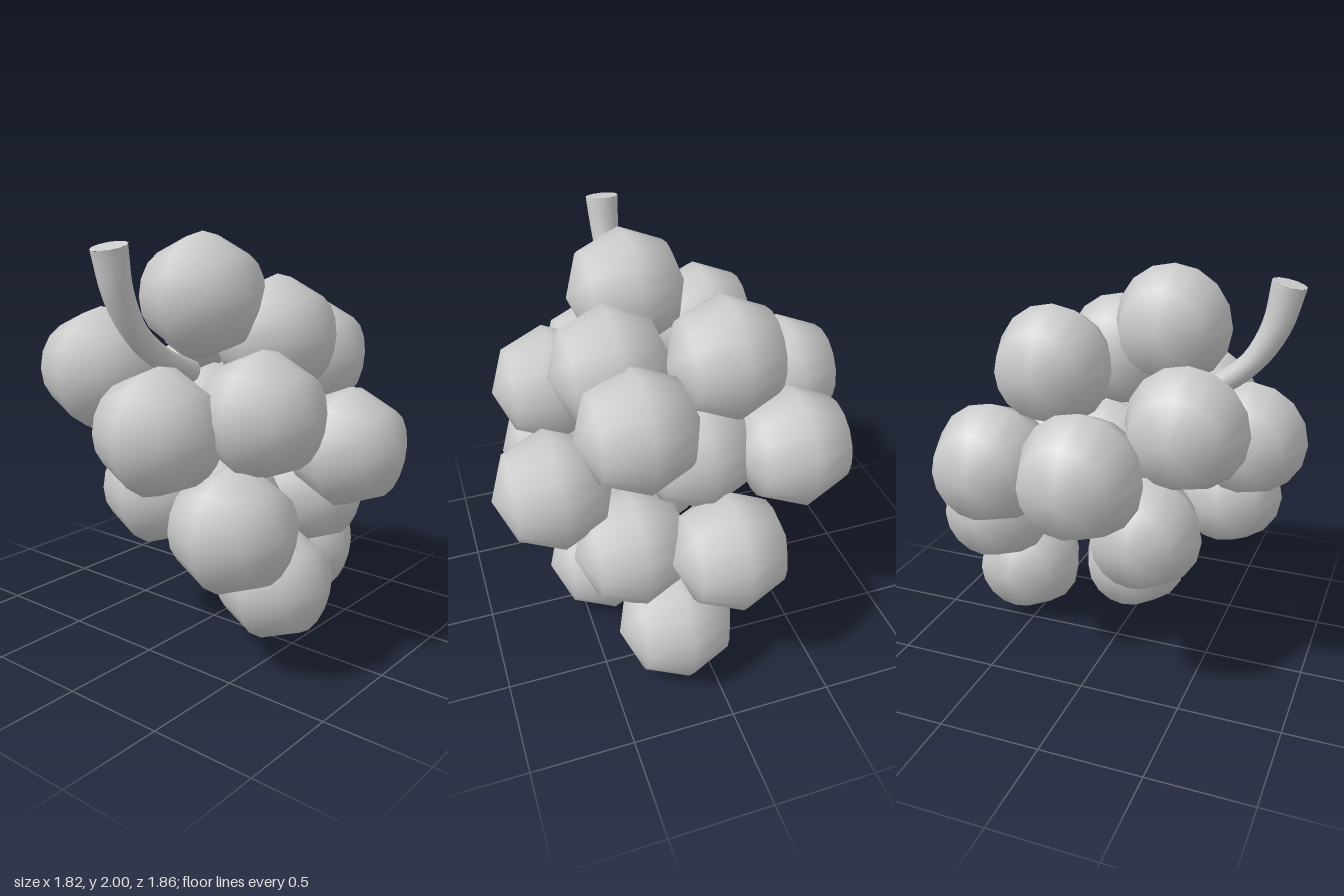
import * as THREE from 'three';

const material = new THREE.MeshStandardMaterial({ color: 0xcccccc });

// Centre of each berry, from the crown of the bunch to its tip
const berries = [
  [-0.24, 1.71, 0.13], [0.24, 1.55, -0.20], [0.09, 1.51, 0.31],
  [0.42, 1.38, 0.28], [-0.45, 1.36, -0.32], [-0.305, 1.22, 0.52],
  [-0.62, 1.155, 0.20], [-0.07, 1.20, -0.635], [0.44, 1.13, -0.47],
  [0.29, 1.10, -0.04], [0.03, 1.06, -0.03], [0.23, 0.99, 0.64],
  [0.62, 0.73, -0.10], [0.40, 0.68, 0.31], [-0.465, 0.73, 0.49],
  [-0.21, 0.74, -0.17], [-0.08, 0.67, 0.12],
  [0.025, 0.295, 0.37], [0.575, 0.295, 0.15],
];

// Curved stem, thickening towards its cut end
function createStem() {
  const stem = new THREE.Group();
  stem.name = 'stem';
  const curve = new THREE.CatmullRomCurve3([
    [-0.785, 1.95], [-0.74, 1.755], [-0.64, 1.58], [-0.49, 1.455], [-0.28, 1.36],
  ].map(([x, y]) => new THREE.Vector3(x, y, 0.09)));
  const steps = 16, sides = 12, endRadius = 0.082;
  const geometry = new THREE.TubeGeometry(curve, steps, endRadius, sides);

  // Taper: pull every ring towards the centre line
  const position = geometry.attributes.position;
  const vertex = new THREE.Vector3();
  for (let i = 0; i < position.count; i++) {
    const t = Math.floor(i / (sides + 1)) / steps;
    const scale = 1 - 0.32 * Math.min(1, t * 2);
    const centre = curve.getPointAt(t);
    vertex.fromBufferAttribute(position, i).sub(centre).multiplyScalar(scale).add(centre);
    position.setXYZ(i, vertex.x, vertex.y, vertex.z);
  }
  const shaft = new THREE.Mesh(geometry, material);
  shaft.name = 'stemShaft';

  // Flat cut end
  const cap = new THREE.Mesh(new THREE.CircleGeometry(endRadius, sides), material);
  cap.name = 'stemCutEnd';
  cap.position.copy(curve.getPointAt(0));
  cap.quaternion.setFromUnitVectors(new THREE.Vector3(0, 0, 1), curve.getTangentAt(0).negate());
  stem.add(shaft, cap);
  return stem;
}

export function createModel() {
  const model = new THREE.Group();
  model.name = 'berryBunch';

  // Low-poly berries with their poles facing front and back
  const berryGeometry = new THREE.SphereGeometry(0.29, 16, 4).rotateX(Math.PI / 2);
  const bunch = new THREE.Group();
  bunch.name = 'berries';
  for (const centre of berries) {
    const berry = new THREE.Mesh(berryGeometry, material);
    berry.name = 'berry';
    berry.position.set(...centre);
    bunch.add(berry);
  }

  model.add(bunch, createStem());
  return model;
}
